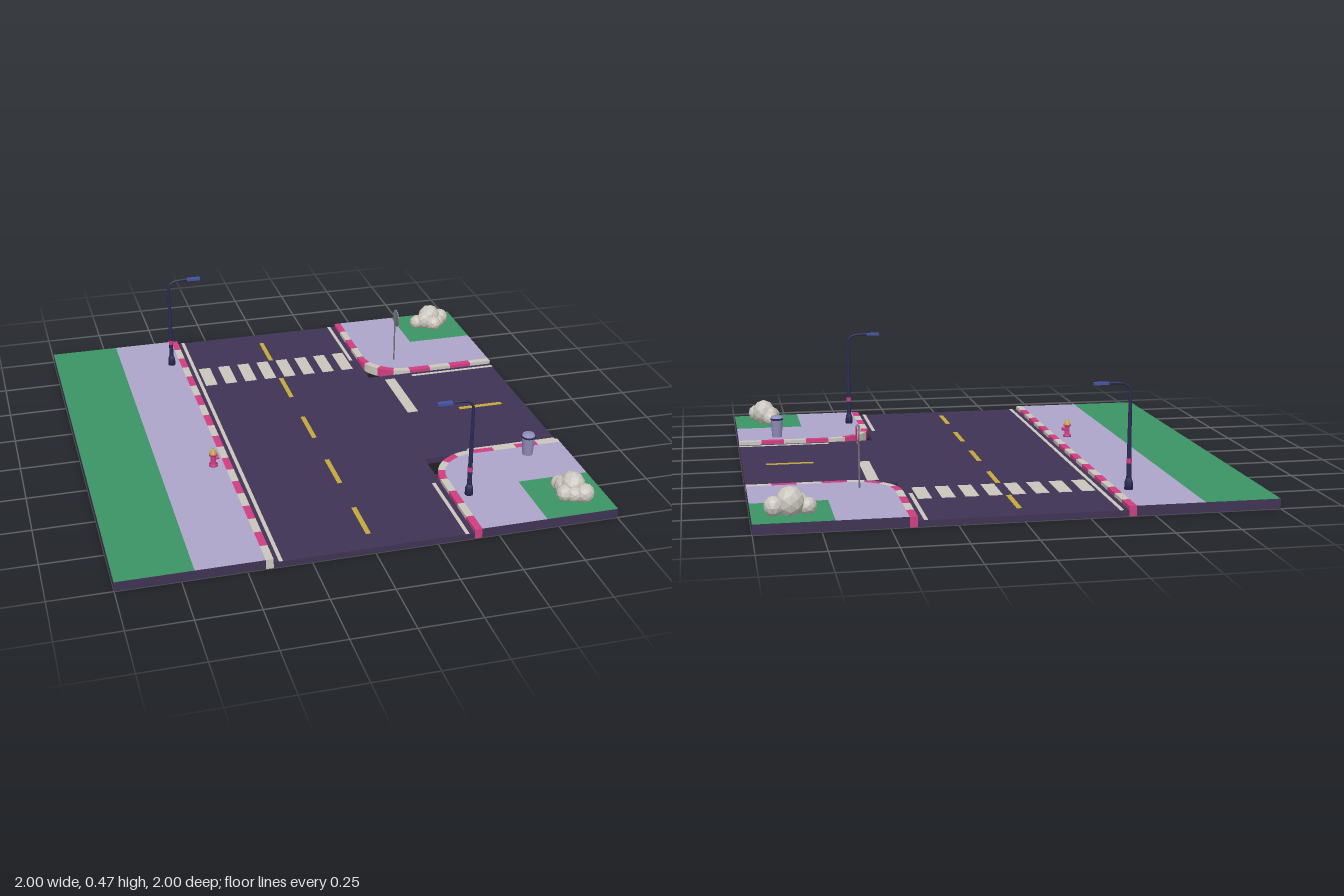
import * as THREE from 'three';

const mat = (name, color, side = THREE.FrontSide, flatShading = false) => {
  const m = new THREE.MeshStandardMaterial({ color, side, flatShading });
  m.name = name;
  return m;
};

export function createModel() {
  const M = {
    asphalt: mat('asphalt', 0x3f3355, THREE.DoubleSide),
    pavement: mat('pavement', 0xada5cb, THREE.DoubleSide),
    grass: mat('grass', 0x3a9465, THREE.DoubleSide),
    white: mat('offWhite', 0xcac6be, THREE.FrontSide, true),
    pink: mat('pink', 0xcf3f80),
    yellow: mat('yellow', 0xc4a83c),
    navy: mat('navy', 0x2b2b55),
    blue: mat('lampBlue', 0x4453a0),
    bin: mat('binLavender', 0x8f8cb8),
    grey: mat('metalGrey', 0x77737f),
  };
  const TOP = 0.04, ROAD = 0.025;
  const root = new THREE.Group();
  root.name = 'roadJunction';

  const add = (parent, name, geo, material, x = 0, y = 0, z = 0) => {
    const m = new THREE.Mesh(geo, material);
    m.name = name;
    m.position.set(x, y, z);
    parent.add(m);
    return m;
  };
  const group = (name, x = 0, y = 0, z = 0) => {
    const g = new THREE.Group();
    g.name = name;
    g.position.set(x, y, z);
    root.add(g);
    return g;
  };
  const shapeOf = pts => new THREE.Shape(pts.map(p => new THREE.Vector2(p[0], p[1])));
  const rect = (x0, z0, x1, z1) => [[x0, z0], [x1, z0], [x1, z1], [x0, z1]];
  const lathe = (pts, n) => new THREE.LatheGeometry(pts.map(p => new THREE.Vector2(p[0], p[1])), n);

  // Raised slab, open underneath: thin top plus a dark skirt
  const slab = (name, pts, material) => {
    const top = new THREE.ShapeGeometry(shapeOf(pts)).rotateX(Math.PI / 2);
    add(root, name + 'Top', top, material, 0, TOP, 0);
    const pos = [];
    pts.forEach(([x, z], i) => {
      const [u, w] = pts[(i + 1) % pts.length];
      pos.push(x, 0, z, u, 0, w, u, TOP, w, x, 0, z, u, TOP, w, x, TOP, z);
    });
    const wall = new THREE.BufferGeometry();
    wall.setAttribute('position', new THREE.Float32BufferAttribute(pos, 3));
    wall.computeVertexNormals();
    add(root, name + 'Skirt', wall, M.asphalt);
  };

  // Solid prism from a ground outline, used for kerb stones
  const prism = (name, pts, material) => {
    const g = new THREE.ExtrudeGeometry(shapeOf(pts), { depth: TOP, bevelEnabled: false });
    add(root, name, g.rotateX(Math.PI / 2), material, 0, TOP, 0);
  };
  const arc = (r, a0, a1, s, n) => Array.from({ length: n + 1 }, (_, i) => {
    const a = a0 + (a1 - a0) * i / n;
    return [0.6 - r * Math.cos(a), s * (0.6 - r * Math.sin(a))];
  });

  // Road
  add(root, 'mainRoad', new THREE.BoxGeometry(0.8, ROAD, 2), M.asphalt, 0, ROAD / 2, 0);
  add(root, 'sideRoad', new THREE.BoxGeometry(0.6, ROAD, 0.8), M.asphalt, 0.7, ROAD / 2, 0);

  // Straight sidewalk side
  slab('sideLawn', rect(-1, -1, -0.7, 1), M.grass);
  slab('sidePavement', rect(-0.7, -1, -0.43, 1), M.pavement);
  for (let i = 0; i < 20; i++) {
    const z = -1 + i * 0.1;
    prism('kerbStone', rect(-0.43, z, -0.4, z + 0.1), i % 2 ? M.white : M.pink);
  }

  // Two mirrored corners with rounded kerbs
  for (const s of [-1, 1]) {
    slab('cornerLawn', rect(0.7, s * 0.7, 1, s), M.grass);
    slab('cornerPavement', [[0.43, s], ...arc(0.17, 0, Math.PI / 2, s, 16),
      [1, s * 0.43], [1, s * 0.7], [0.7, s * 0.7], [0.7, s]], M.pavement);
    for (let i = 0; i < 4; i++) {
      const t = 0.6 + i * 0.1, a = i * Math.PI / 8, b = a + Math.PI / 8;
      prism('kerbStone', rect(0.4, s * t, 0.43, s * (t + 0.1)), i % 2 ? M.pink : M.white);
      prism('kerbStone', rect(t, s * 0.4, t + 0.1, s * 0.43), i % 2 ? M.white : M.pink);
      prism('kerbCurve', [...arc(0.2, a, b, s, 4), ...arc(0.17, b, a, s, 4)],
        i % 2 ? M.white : M.pink);
    }
  }

  // Painted road markings
  const paint = (name, x, z, w, d, material) =>
    add(root, name, new THREE.BoxGeometry(w, 0.002, d), material, x, ROAD + 0.001, z);
  paint('edgeLine', -0.372, 0, 0.015, 2, M.white);
  for (const s of [-1, 1]) {
    paint('edgeLine', 0.37, s * 0.8, 0.015, 0.4, M.white);
    paint('edgeLine', 0.8, s * 0.372, 0.4, 0.015, M.white);
  }
  for (let i = 0; i < 8; i++) paint('crossingBar', -0.326 + i * 0.0932, -0.602, 0.054, 0.18, M.white);
  for (let i = 0; i < 5; i++) paint('centreDash', 0, -0.8 + i * 0.4, 0.02, 0.2, M.yellow);
  paint('centreDash', 0.8, 0, 0.2, 0.02, M.yellow);
  paint('stopLine', 0.488, -0.19, 0.048, 0.34, M.white);

  // Street lamps, arms reaching over the road
  for (const [x, z, turn] of [[-0.47, -0.75, 0], [0.47, 0.74, Math.PI]]) {
    const lamp = group('streetLamp', x, TOP, z);
    lamp.rotation.y = turn;
    add(lamp, 'lampBase', lathe([[0, 0], [0.017, 0], [0.016, 0.03], [0.011, 0.045], [0, 0.045]], 10), M.navy);
    add(lamp, 'lampPole', new THREE.CylinderGeometry(0.006, 0.01, 0.36, 10), M.navy, 0, 0.215, 0);
    add(lamp, 'poleBand', new THREE.CylinderGeometry(0.0105, 0.0105, 0.02, 10), M.pink, 0, 0.115, 0);
    const path = new THREE.CatmullRomCurve3([[0, 0.385], [0.004, 0.402], [0.022, 0.418], [0.045, 0.423], [0.09, 0.424]]
      .map(p => new THREE.Vector3(p[0], p[1], 0)));
    add(lamp, 'lampArm', new THREE.TubeGeometry(path, 16, 0.005, 8), M.navy);
    add(lamp, 'lampHead', new THREE.BoxGeometry(0.06, 0.01, 0.022), M.blue, 0.118, 0.424, 0);
  }

  // Fire hydrant
  const hydrant = group('hydrant', -0.475, TOP, 0.25);
  add(hydrant, 'hydrantBody', lathe([[0, 0], [0.019, 0], [0.019, 0.008], [0.012, 0.01],
    [0.012, 0.048], [0.018, 0.05], [0.018, 0.056], [0, 0.056]], 12), M.pink);
  add(hydrant, 'hydrantCap', lathe([[0.015, 0.056], [0.013, 0.066], [0.006, 0.072], [0.005, 0.08], [0, 0.08]], 12), M.yellow);
  const nozzle = new THREE.CylinderGeometry(0.006, 0.006, 0.044, 8).rotateX(Math.PI / 2);
  add(hydrant, 'sideNozzles', nozzle, M.pink, 0, 0.036, 0);
  const spout = new THREE.CylinderGeometry(0.008, 0.008, 0.018, 8).rotateZ(Math.PI / 2);
  add(hydrant, 'frontNozzle', spout, M.pink, 0.015, 0.036, 0);

  // Litter bin
  const bin = group('litterBin', 0.825, TOP, 0.49);
  add(bin, 'binBody', new THREE.CylinderGeometry(0.027, 0.022, 0.08, 16), M.bin, 0, 0.04, 0);
  add(bin, 'binRim', new THREE.CylinderGeometry(0.029, 0.029, 0.008, 16), M.navy, 0, 0.083, 0);
  add(bin, 'binLid', lathe([[0.028, 0.087], [0.023, 0.096], [0, 0.099]], 16), M.bin);

  // Octagonal road sign facing the side road
  const sign = group('roadSign', 0.565, TOP, -0.53);
  add(sign, 'signPost', new THREE.CylinderGeometry(0.0035, 0.0035, 0.25, 8), M.grey, -0.003, 0.125, 0);
  const octagon = (name, r, t, x, material) => add(sign, name,
    new THREE.CylinderGeometry(r, r, t, 8, 1, false, Math.PI / 8).rotateZ(-Math.PI / 2), material, x, 0.215, 0);
  octagon('signBack', 0.041, 0.004, 0.002, M.grey);
  octagon('signBorder', 0.041, 0.001, 0.0045, M.white);
  octagon('signFace', 0.035, 0.001, 0.0055, M.pink);

  // Clumps of faceted boulders: x, y, z, rx, ry, rz
  const lumps = [
    [0, 0.045, -0.005, 0.055, 0.06, 0.052], [-0.065, 0.025, 0, 0.036, 0.034, 0.034],
    [0.06, 0.033, -0.015, 0.04, 0.04, 0.038], [0.005, 0.028, 0.037, 0.044, 0.036, 0.036],
    [-0.03, 0.036, 0.015, 0.042, 0.042, 0.036], [0.035, 0.028, 0.02, 0.036, 0.034, 0.032],
  ];
  for (const [x, z, turn] of [[0.855, -0.867, 0], [0.862, 0.852, -1.2]]) {
    const clump = group('boulderClump', x, TOP, z);
    clump.rotation.y = turn;
    lumps.forEach(([px, py, pz, rx, ry, rz], i) => {
      const rock = add(clump, 'boulder', new THREE.IcosahedronGeometry(1, 1), M.white, px, py, pz);
      rock.scale.set(rx, ry, rz);
      rock.rotation.y = i * 0.7;
    });
  }
  return root;
}
